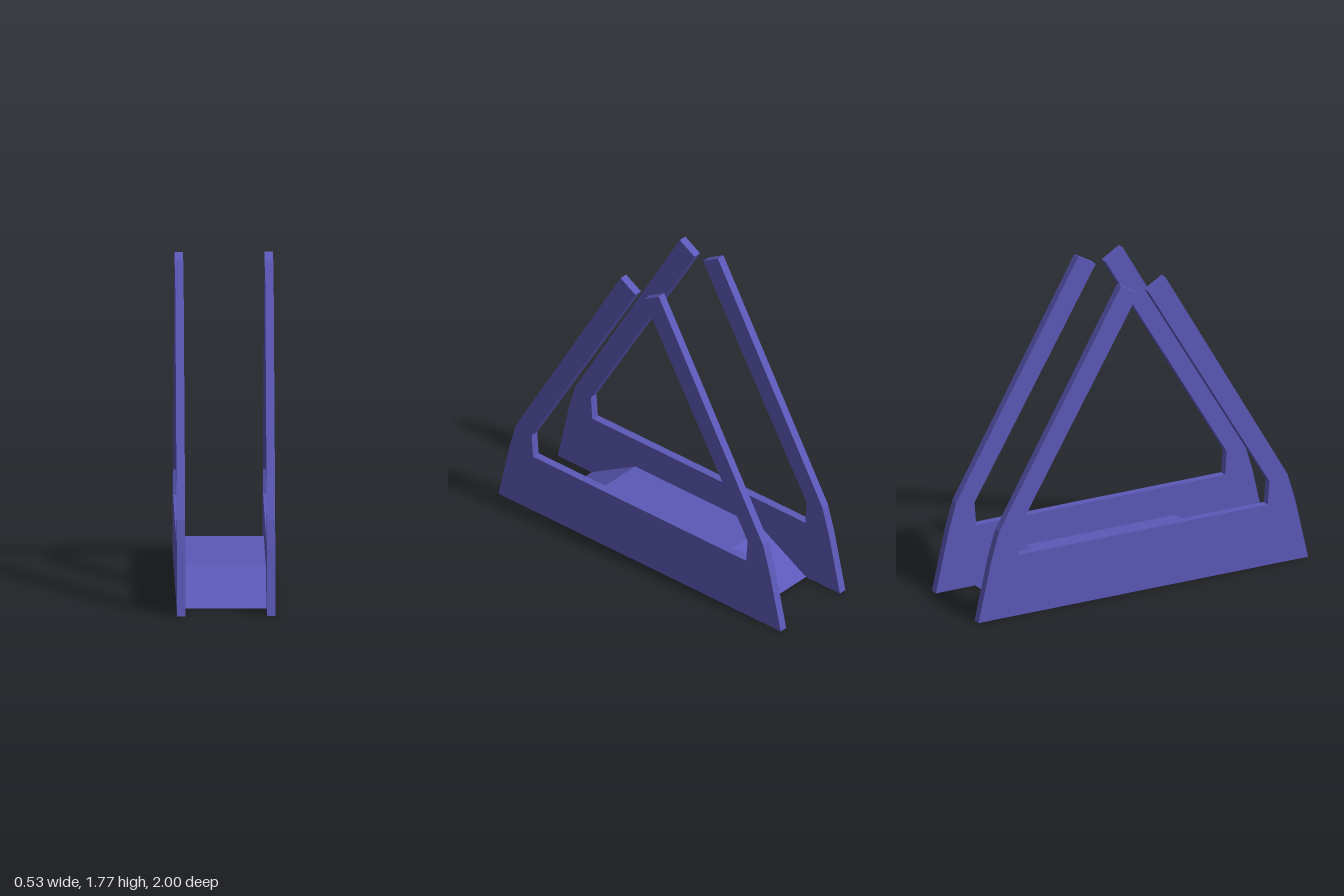
import * as THREE from 'three';

const INNER = 0.218, THICK = 0.045;

export function createModel() {
  const group = new THREE.Group();
  const color = 0x5c58b8;
  const solid = new THREE.MeshStandardMaterial({ color, flatShading: true });
  const sheet = new THREE.MeshStandardMaterial({ color, flatShading: true, side: THREE.DoubleSide });

  // Side frame outline (z, y): one half, mirrored for the other
  const half = [[1, 0], [0.92, 0.35], [0.875, 0.5], [0.135, 1.775], [0.03, 1.713], [0.765, 0.48], [0.755, 0.347]];
  const mirrored = half.map(([z, y]) => [-z, y]).reverse();
  const outline = new THREE.Shape([...half, ...mirrored].map(([z, y]) => new THREE.Vector2(z, y)));
  const frame = new THREE.ExtrudeGeometry(outline, { depth: THICK, bevelEnabled: false });
  frame.translate(0, 0, -THICK / 2);
  frame.rotateY(-Math.PI / 2);
  for (const [name, s] of [['leftFrame', 1], ['rightFrame', -1]]) {
    const mesh = new THREE.Mesh(frame, solid);
    mesh.name = name;
    mesh.position.x = s * (INNER + THICK / 2);
    group.add(mesh);
  }

  // Folded sheet joining the frames: ramp, flat deck, ramp
  const fold = [[0.76, 0], [0.45, 0.175], [-0.45, 0.175], [-0.76, 0]];
  const deck = new THREE.PlaneGeometry(INNER * 2, 1, 1, fold.length - 1);
  const pos = deck.attributes.position;
  for (let i = 0; i < pos.count; i++) {
    const [z, y] = fold[fold.length - 1 - Math.floor(i / 2)];
    pos.setXYZ(i, pos.getX(i), y, z);
  }
  deck.computeVertexNormals();
  const base = new THREE.Mesh(deck, sheet);
  base.name = 'foldedBase';
  group.add(base);

  return group;
}
